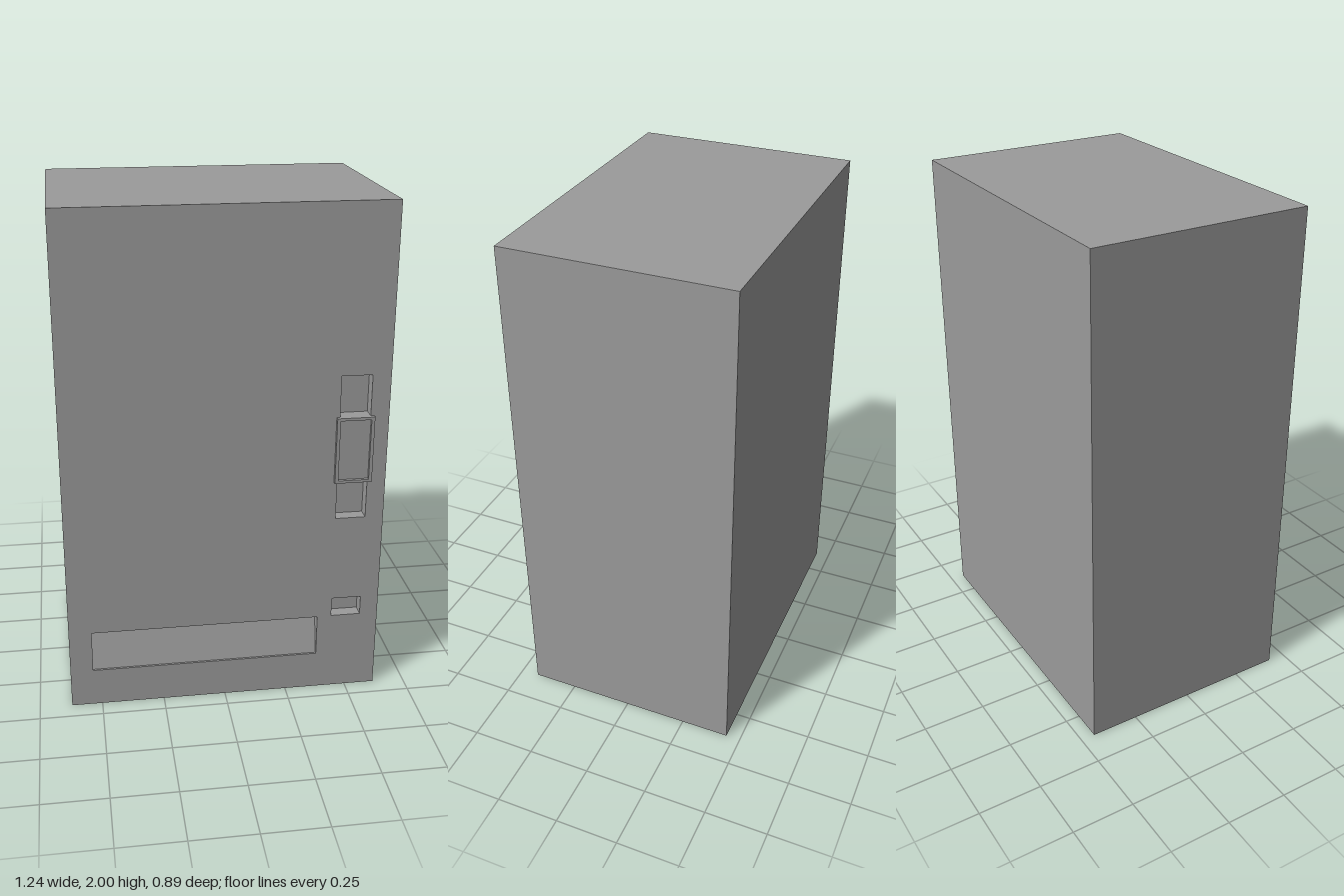
import * as THREE from 'three';

const material = new THREE.MeshStandardMaterial({ color: 0x9b9b9b });

// Closed rectangle outline, usable as a shape or a hole
function rect(PathType, x0, x1, y0, y1) {
  const p = new PathType();
  p.moveTo(x0, y0);
  p.lineTo(x1, y0);
  p.lineTo(x1, y1);
  p.lineTo(x0, y1);
  p.closePath();
  return p;
}

function named(name, geo) {
  const mesh = new THREE.Mesh(geo, material);
  mesh.name = name;
  return mesh;
}

// Rectangular plate with rectangular openings, from z0 to z1
function plate(name, outer, openings, z0, z1) {
  const shape = rect(THREE.Shape, ...outer);
  shape.holes = openings.map((o) => rect(THREE.Path, ...o));
  const geo = new THREE.ExtrudeGeometry(shape, { depth: z1 - z0, bevelEnabled: false });
  geo.translate(0, 0, z0);
  return named(name, geo);
}

export function createModel() {
  const group = new THREE.Group();
  group.name = 'vendingMachine';

  const W = 0.622, H = 2, back = -0.443, front = 0.428, floor = front - 0.05;
  const tray = [-0.532, 0.375, 0.157, 0.329];
  const paymentSlot = [0.432, 0.55, 0.767, 1.353];
  const changeSlot = [0.432, 0.55, 0.331, 0.41];

  // Main cabinet, whose front forms the back wall of each recess
  const cabinet = named('cabinet', new THREE.BoxGeometry(2 * W, H, floor - back));
  cabinet.position.set(0, H / 2, (floor + back) / 2);
  group.add(cabinet);

  // Front door with the recess openings
  group.add(plate('frontDoor', [-W, W, 0, H], [tray, paymentSlot, changeSlot], floor, front));

  // Flap of the delivery tray, leaning back from the bottom lip
  const wedge = new THREE.Shape();
  wedge.moveTo(-(front - 0.008), tray[2]);
  wedge.lineTo(-floor, tray[2]);
  wedge.lineTo(-floor, tray[3]);
  wedge.closePath();
  const flap = new THREE.ExtrudeGeometry(wedge, { depth: tray[1] - tray[0], bevelEnabled: false });
  flap.rotateY(Math.PI / 2);
  flap.translate(tray[0], 0, 0);
  group.add(named('deliveryFlap', flap));

  // Payment panel across the middle of the slot: backing plus raised rim
  const panel = [0.419, 0.564, 0.923, 1.19];
  const inner = [0.432, 0.551, 0.934, 1.179];
  group.add(plate('paymentPanel', panel, [], floor, front + 0.003));
  group.add(plate('paymentPanelRim', panel, [inner], front + 0.003, 0.443));

  return group;
}
